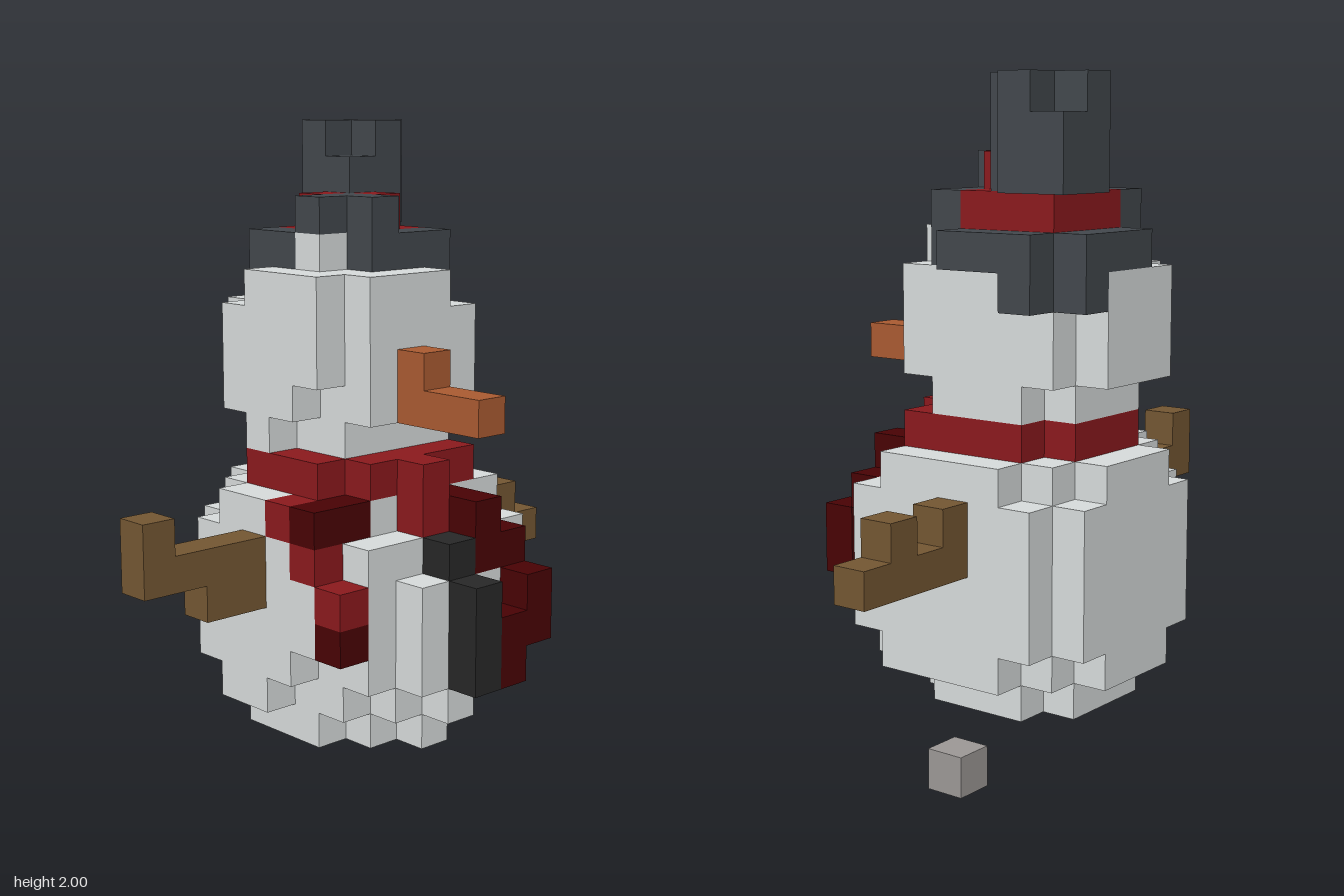
import * as THREE from 'three';
import { mergeGeometries } from 'three/addons/utils/BufferGeometryUtils.js';

const U = 2 / 17; // block size; the grid is 9 wide (x), 17 high (y), 15 deep (z)

const mat = (name, color) => {
  const m = new THREE.MeshStandardMaterial({ color });
  m.name = name;
  return m;
};

// Each box is [x first, x last, y first, y last, z first, z last] in blocks.
// A later part replaces the blocks of an earlier one.
const body = [
  // base
  [2, 4, 0, 0, 5, 9], [1, 5, 0, 0, 6, 8], [6, 6, 0, 0, 7, 7],
  [1, 5, 1, 1, 5, 9], [0, 6, 1, 1, 6, 8], [2, 3, 1, 1, 10, 10], [2, 5, 1, 1, 4, 4],
  [6, 6, 1, 1, 5, 5], [7, 7, 1, 1, 7, 7],
  // belly, flatter at the back
  [0, 6, 2, 5, 5, 9], [1, 6, 2, 5, 4, 4], [7, 7, 2, 4, 6, 8],
  [1, 4, 2, 2, 10, 10], [1, 5, 3, 4, 10, 10], [1, 4, 5, 5, 10, 10],
  // shoulders
  [1, 5, 6, 6, 5, 9], [0, 5, 6, 6, 6, 8], [2, 3, 6, 6, 10, 10], [2, 5, 6, 6, 4, 4],
];
const head = [
  [1, 4, 8, 8, 6, 8], [2, 2, 8, 8, 9, 9], [2, 4, 8, 8, 5, 5],
  [1, 3, 9, 9, 9, 9], [1, 4, 10, 11, 9, 9],
  [0, 5, 9, 11, 6, 8], [1, 5, 9, 11, 5, 5],
  [2, 4, 12, 12, 9, 9], [1, 5, 12, 12, 6, 8], [2, 3, 12, 12, 5, 5], [3, 3, 13, 13, 8, 8],
];
const hatBrim = [
  // lowest at the back corner, rising to the front corner
  [1, 1, 11, 11, 4, 5], [0, 0, 11, 11, 5, 5],
  [0, 0, 12, 12, 5, 7], [1, 3, 12, 12, 4, 4], [1, 1, 12, 12, 5, 5],
  [1, 1, 12, 12, 8, 8], [4, 4, 12, 12, 5, 5],
  [1, 2, 13, 13, 8, 8], [4, 4, 13, 13, 5, 7],
  [3, 3, 14, 14, 7, 8], [4, 4, 14, 14, 7, 7],
];
const hatCrown = [
  [0, 2, 14, 16, 5, 5], [1, 1, 14, 16, 4, 6], [2, 2, 14, 15, 6, 6], [0, 0, 14, 15, 4, 4],
];
const hatBand = [[1, 3, 13, 13, 5, 7], [2, 2, 14, 14, 7, 7], [3, 3, 14, 14, 6, 6]];
const scarf = [
  [2, 5, 7, 7, 5, 5], [1, 5, 7, 7, 6, 8], [2, 4, 7, 7, 9, 9], [6, 6, 6, 7, 7, 7],
  [4, 4, 6, 6, 10, 10], [5, 5, 5, 5, 10, 10], [6, 6, 4, 4, 10, 10],
];
const scarfTails = [
  [5, 5, 6, 6, 9, 10], [6, 6, 3, 3, 10, 10],
  [6, 7, 6, 6, 6, 6], [7, 7, 5, 5, 5, 6],
  [8, 8, 3, 4, 5, 5], [8, 8, 2, 3, 6, 6],
];
const leftArm = [[3, 3, 4, 4, 11, 12], [3, 3, 5, 5, 11, 14], [3, 3, 6, 6, 14, 14]];
const rightArm = [[3, 3, 4, 4, 0, 3], [3, 3, 5, 5, 3, 3], [3, 3, 5, 5, 1, 1]];
const nose = [[6, 6, 9, 10, 7, 7], [7, 8, 9, 9, 7, 7]];
const buttons = [[8, 8, 2, 4, 7, 7], [7, 7, 5, 5, 7, 7]];
const pebble = [[0, 0, 0, 0, 0, 0]];

// The six block sides: outward step and the turn that makes a plane face it
const SIDES = [
  [[0, 0, 1], 0, 0], [[0, 0, -1], 0, Math.PI],
  [[1, 0, 0], 0, Math.PI / 2], [[-1, 0, 0], 0, -Math.PI / 2],
  [[0, 1, 0], -Math.PI / 2, 0], [[0, -1, 0], Math.PI / 2, 0],
].map(([step, rx, ry]) => ({
  step,
  plane: new THREE.PlaneGeometry(U, U).rotateX(rx).rotateY(ry)
    .translate(step[0] * U / 2, step[1] * U / 2, step[2] * U / 2),
}));

export function createModel() {
  const snow = mat('snow', 0xd6dada);
  const felt = mat('charcoal felt', 0x42474c);
  const red = mat('red wool', 0x8a191d);
  const darkRed = mat('dark red wool', 0x480204);
  const wood = mat('brown wood', 0x735632);
  const carrot = mat('orange carrot', 0xa95a31);
  const coal = mat('black coal', 0x272727);
  const stone = mat('grey stone', 0x9b9795);

  const parts = [
    ['body', snow, body], ['head', snow, head],
    ['hatBand', red, hatBand], ['hatBrim', felt, hatBrim], ['hatCrown', felt, hatCrown],
    ['scarf', red, scarf], ['scarfTails', darkRed, scarfTails],
    ['leftArm', wood, leftArm], ['rightArm', wood, rightArm],
    ['nose', carrot, nose], ['buttons', coal, buttons], ['pebble', stone, pebble],
  ];

  // Fill the grid, remembering which part owns each block
  const grid = new Map();
  const key = (x, y, z) => `${x},${y},${z}`;
  for (const [name, , boxes] of parts)
    for (const [x0, x1, y0, y1, z0, z1] of boxes)
      for (let x = x0; x <= x1; x++)
        for (let y = y0; y <= y1; y++)
          for (let z = z0; z <= z1; z++) grid.set(key(x, y, z), { name, x, y, z });

  // One mesh per part, made of its exposed block sides
  const model = new THREE.Group();
  model.name = 'snowman';
  for (const [name, material] of parts) {
    const faces = [];
    for (const b of grid.values()) {
      if (b.name !== name) continue;
      for (const { step, plane } of SIDES) {
        if (grid.has(key(b.x + step[0], b.y + step[1], b.z + step[2]))) continue;
        faces.push(plane.clone().translate((b.x - 4) * U, (b.y + 0.5) * U, (b.z - 7) * U));
      }
    }
    const mesh = new THREE.Mesh(mergeGeometries(faces), material);
    mesh.name = name;
    model.add(mesh);
  }
  return model;
}
